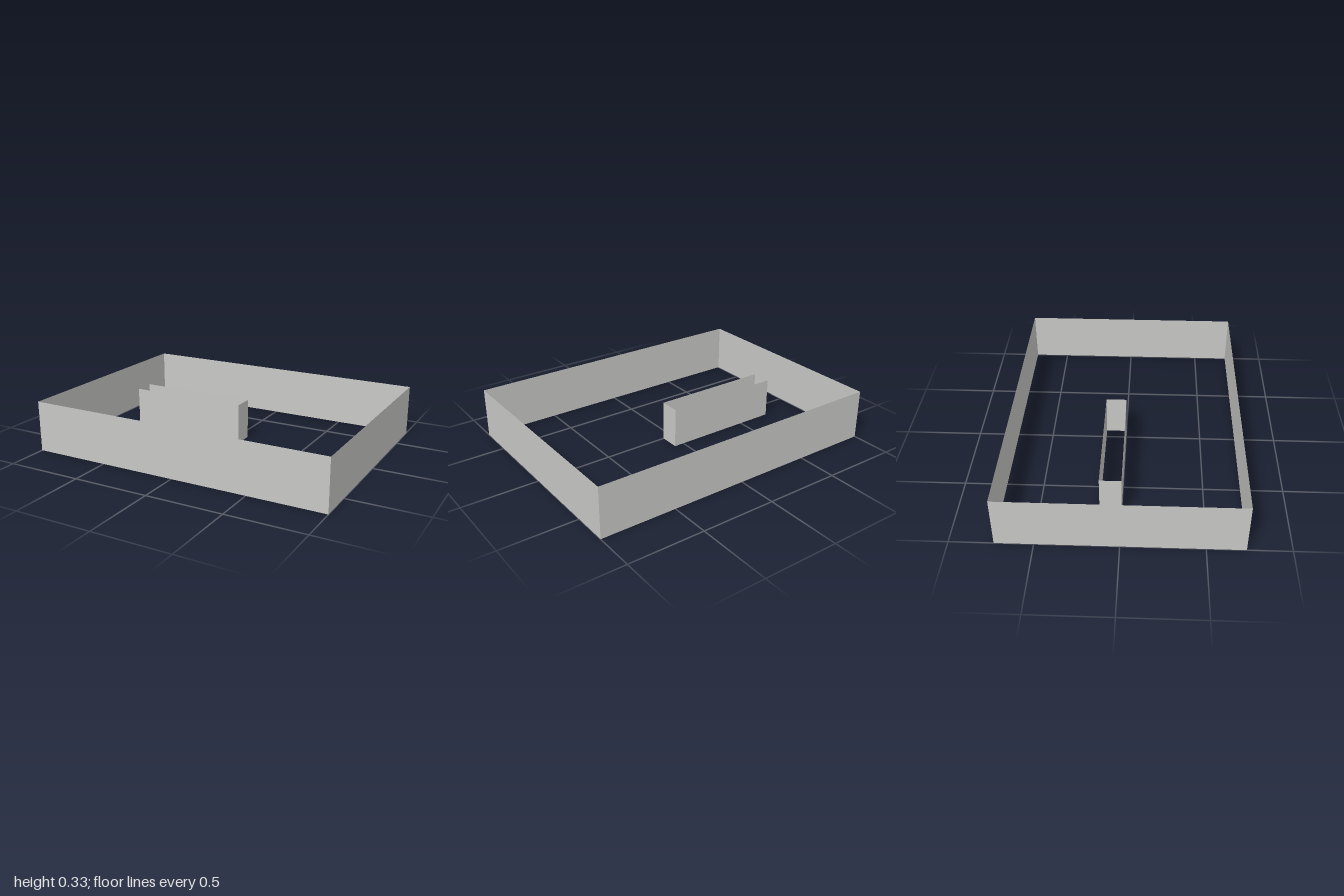
import * as THREE from 'three';

const wallGrey = new THREE.MeshStandardMaterial({ color: 0xc8c8c6, side: THREE.DoubleSide });
wallGrey.name = 'wallGrey';

// Ring of four thin upright walls, open at top and bottom, standing on y = 0
function wallRing(name, width, depth, height) {
  const ring = new THREE.Group();
  ring.name = name;
  const sides = ['front', 'left', 'back', 'right'];
  sides.forEach((side, i) => {
    const length = i % 2 ? depth : width;
    const distance = (i % 2 ? width : depth) / 2;
    const geometry = new THREE.PlaneGeometry(length, height);
    geometry.translate(0, height / 2, distance);
    geometry.rotateY(i * Math.PI / 2);
    const wall = new THREE.Mesh(geometry, wallGrey);
    wall.name = side + 'Wall';
    ring.add(wall);
  });
  return ring;
}

export function createModel() {
  const model = new THREE.Group();
  model.name = 'walledEnclosure';

  // Large perimeter
  model.add(wallRing('outerWalls', 2, 1.4667, 0.3333));

  // Narrow enclosure inside, set towards the right and just behind the centre
  const inner = wallRing('innerWalls', 0.8, 0.1333, 0.2667);
  inner.position.set(-0.3333, 0, -0.0667);
  model.add(inner);

  return model;
}
